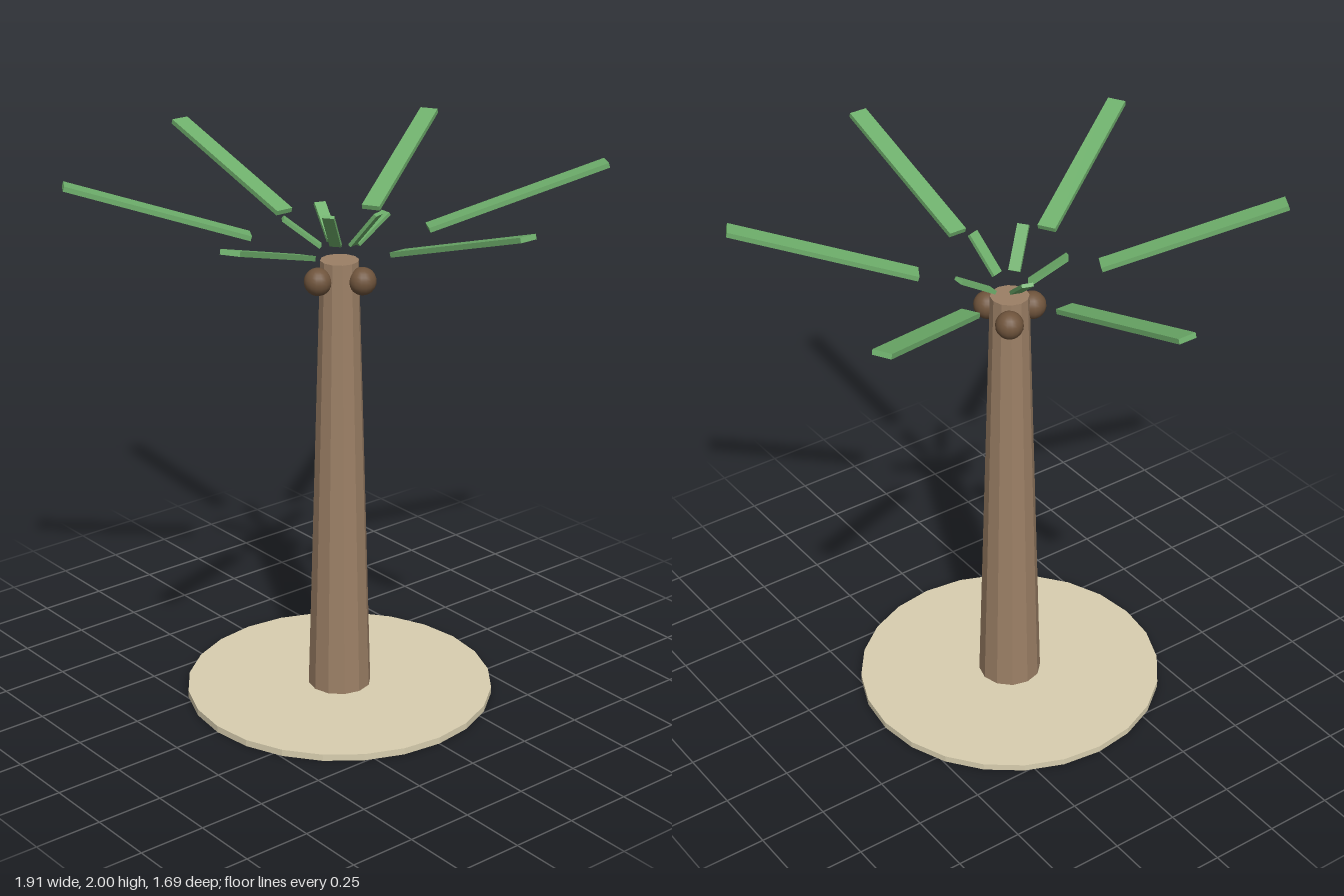
import * as THREE from 'three';

const material = (color) => new THREE.MeshStandardMaterial({ color, flatShading: true });

export function createModel() {
  const tree = new THREE.Group();
  tree.name = 'palmTree';
  const sand = material(0xd9cfb0);
  const bark = material(0x9c8066);
  const leaf = material(0x6fb06c);
  const husk = new THREE.MeshStandardMaterial({ color: 0x6f543c });

  const add = (name, geometry, mat, x = 0, y = 0, z = 0) => {
    const mesh = new THREE.Mesh(geometry, mat);
    mesh.name = name;
    mesh.position.set(x, y, z);
    tree.add(mesh);
    return mesh;
  };

  // Sand disc and tapered trunk
  add('sandBase', new THREE.CylinderGeometry(0.57, 0.57, 0.025, 24), sand, 0, 0.0125, 0);
  add('trunk', new THREE.CylinderGeometry(0.069, 0.117, 1.66, 12), bark, 0, 0.85, 0);

  // Three coconuts under the crown
  for (let i = 0; i < 3; i++) {
    const a = THREE.MathUtils.degToRad(-6 + i * 120);
    add('coconut', new THREE.SphereGeometry(0.05, 16, 12), husk,
      Math.sin(a) * 0.09, 1.615, Math.cos(a) * 0.09);
  }

  // A frond is a plank lying on a ray that rises from the trunk top
  const addFrond = (name, heading, tilt, start, end, thickness, width) => {
    const geometry = new THREE.BoxGeometry(end - start, thickness, width);
    geometry.translate((start + end) / 2, 0, 0);
    geometry.rotateZ(THREE.MathUtils.degToRad(tilt));
    geometry.rotateY(THREE.MathUtils.degToRad(heading));
    add(name, geometry, leaf, 0, 1.68, 0);
  };

  // Six long outer fronds
  for (let i = 0; i < 6; i++) addFrond('outerFrond', i * 60, 18, 0.33, 1.0, 0.018, 0.068);

  // Five short inner fronds with varied tilt
  [50.5, 32, 37.5, 38, 53].forEach((tilt, i) =>
    addFrond('innerFrond', 18 + i * 72, tilt, 0.085, 0.25, 0.013, 0.042));

  return tree;
}
